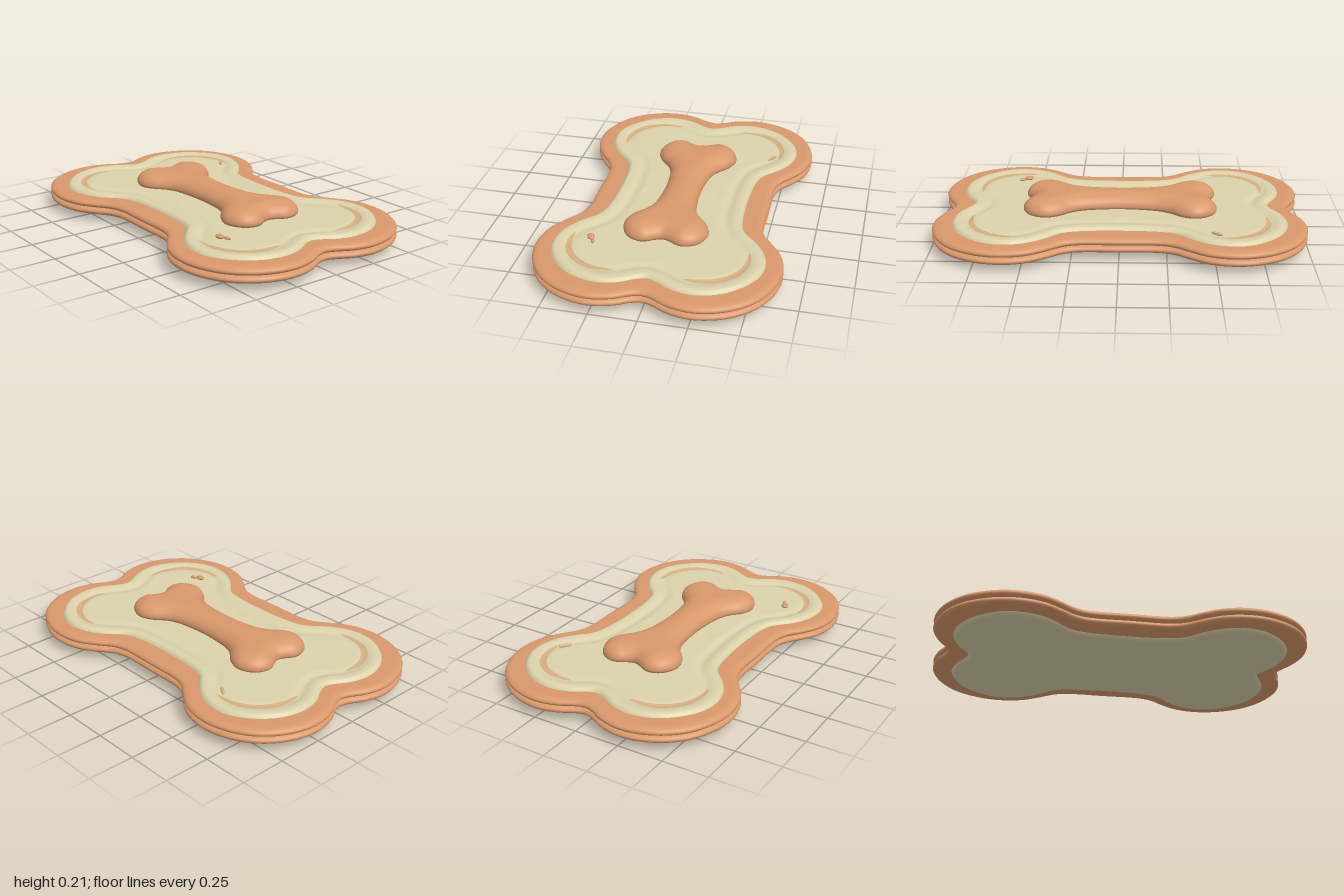
import * as THREE from 'three';
import { mergeVertices } from 'three/addons/utils/BufferGeometryUtils.js';

// Outlines: one quadrant as [x, z], from the end notch round the lobe to the waist
const BISCUIT = [[0, .92], [.05, .933], [.13, .975], [.26, 1], [.42, .96], [.55, .86], [.625, .72], [.645, .59],
  [.62, .46], [.56, .36], [.505, .285], [.483, .21], [.482, 0]];
const ICING = [[0, .82], [.05, .838], [.12, .88], [.24, .905], [.38, .87], [.49, .78], [.55, .68], [.565, .58],
  [.54, .47], [.48, .375], [.41, .3], [.385, .22], [.372, 0]];
const BONE = [[0, .482], [.04, .497], [.08, .52], [.12, .525], [.18, .5], [.217, .445], [.226, .39], [.2, .325],
  [.15, .265], [.12, .2], [.105, .1], [.1, 0]];

// Mirror a quadrant into a full smooth closed outline
function outlineOf(quad, n = 176) {
  const half = [...quad, ...quad.slice(0, -1).reverse().map(([x, z]) => [x, -z])];
  const full = [...half, ...half.slice(1, -1).reverse().map(([x, z]) => [-x, z])];
  const curve = new THREE.CatmullRomCurve3(full.map(([x, z]) => new THREE.Vector3(x, 0, z)), true, 'centripetal');
  return curve.getSpacedPoints(n).slice(0, n);
}

// Distance from a point to the outline
function edgeDistance(outline, x, z) {
  let best = Infinity;
  outline.forEach((a, i) => {
    const b = outline[(i + 1) % outline.length];
    const dx = b.x - a.x, dz = b.z - a.z;
    const t = THREE.MathUtils.clamp(((x - a.x) * dx + (z - a.z) * dz) / (dx * dx + dz * dz), 0, 1);
    best = Math.min(best, Math.hypot(x - a.x - dx * t, z - a.z - dz * t));
  });
  return best;
}

const round = (t) => Math.sqrt(1 - (1 - Math.min(t, 1)) ** 2);
const bell = (t) => Math.exp(-t * t);

// Closed pillow: rings run from a central spine to the rim on top, then back underneath
function pillow(outline, spine, top, bottom, rings = 30) {
  const pos = [], idx = [], n = outline.length;
  for (let k = 0; k <= rings * 2; k++) {
    const s = 1 - Math.abs(k - rings) / rings;
    const u = 1 - (1 - s) ** 2.6;
    for (const p of outline) {
      const cz = THREE.MathUtils.clamp(p.z, -spine, spine);
      const x = p.x * u, z = cz + (p.z - cz) * u;
      const d = k === rings ? 0 : edgeDistance(outline, x, z);
      pos.push(x, (k <= rings ? top : bottom)(d, x, z), z);
    }
  }
  for (let k = 0; k < rings * 2; k++) {
    for (let j = 0; j < n; j++) {
      const a = k * n + j, d = k * n + (j + 1) % n;
      idx.push(a, a + n, d + n, a, d + n, d);
    }
  }
  return finish(pos, idx);
}

function finish(pos, idx) {
  let g = new THREE.BufferGeometry();
  g.setAttribute('position', new THREE.Float32BufferAttribute(pos, 3));
  g.setIndex(idx);
  g = mergeVertices(g, 1e-5);
  g.computeVertexNormals();
  return g;
}

export function createModel() {
  const group = new THREE.Group();
  const material = (name, color, side = THREE.FrontSide) => {
    const m = new THREE.MeshStandardMaterial({ color, side });
    m.name = name;
    return m;
  };
  const baked = material('baked biscuit', 0xd9986b);
  const cream = material('cream icing', 0xdad2aa);
  const thin = material('thin icing', 0xd6ae80, THREE.DoubleSide);
  const add = (name, geometry, mat) => {
    const m = new THREE.Mesh(geometry, mat);
    m.name = name;
    group.add(m);
    return m;
  };

  // Biscuit: two rounded layers with a groove between them
  const biscuit = outlineOf(BISCUIT);
  for (const [name, y] of [['lowerBiscuit', .06], ['upperBiscuit', .1]]) {
    add(name, pillow(biscuit, .5, (d) => y + .021 * round(d / .035), (d) => y - .021 * round(d / .035), 20), baked);
  }

  // Icing: raised rim, shallow channel inside it, gently uneven middle, sagging underside
  const icing = outlineOf(ICING);
  const icingTop = (d, x, z) => {
    const inner = THREE.MathUtils.smoothstep(d, .05, .18);
    return .08 + .059 * round(d / .035) - .01 * bell((d - .1) / .028) - .006 * inner
      + .002 * inner * Math.sin(x * 13) * Math.cos(z * 11)
      + .006 * bell(Math.hypot(Math.abs(x) - .22, z) / .022);
  };
  const icingBottom = (d) => .08 - .058 * round(d / .035) - .022 * THREE.MathUtils.smoothstep(d, .02, .36);
  add('icing', pillow(icing, .5, icingTop, icingBottom, 44), cream);

  // Curved patches in the four lobes where the icing is thin
  const steps = 28, across = 4;
  for (const sx of [1, -1]) for (const sz of [1, -1]) {
    const pos = [], idx = [];
    for (let i = 0; i <= steps; i++) {
      const t = i / steps, a = THREE.MathUtils.degToRad(-22 + 134 * t);
      const width = .036 * Math.sin(Math.PI * t) ** .5;
      for (let j = 0; j <= across; j++) {
        const r = .222 - width * j / across;
        const x = sx * (.257 + r * Math.cos(a)), z = sz * (.583 + r * Math.sin(a));
        pos.push(x, icingTop(edgeDistance(icing, x, z), x, z) + .0015, z);
        if (i < steps && j < across) {
          const p = i * (across + 1) + j, q = p + across + 1;
          if (sx * sz > 0) idx.push(p, p + 1, q, q, p + 1, q + 1);
          else idx.push(p, q, p + 1, q, q + 1, p + 1);
        }
      }
    }
    add('thinIcingArc', finish(pos, idx), thin);
  }

  // Plump bone on top
  add('bone', pillow(outlineOf(BONE), .41, (d) => .148 + .066 * round(d / .1), (d) => .148 - .04 * round(d / .1)), baked);

  // Loose crumbs
  const crumb = (x, y, z, size, turn, mat) => {
    const m = add('crumb', new THREE.SphereGeometry(1, 16, 12), mat);
    m.position.set(x, y, z);
    m.scale.set(...size);
    m.rotation.y = turn;
  };
  crumb(-.365, .143, .542, [.019, .012, .025], .3, baked);
  crumb(-.345, .14, .578, [.009, .009, .019], .4, baked);
  crumb(.425, .135, -.508, [.009, .009, .036], -.6, thin);
  return group;
}
